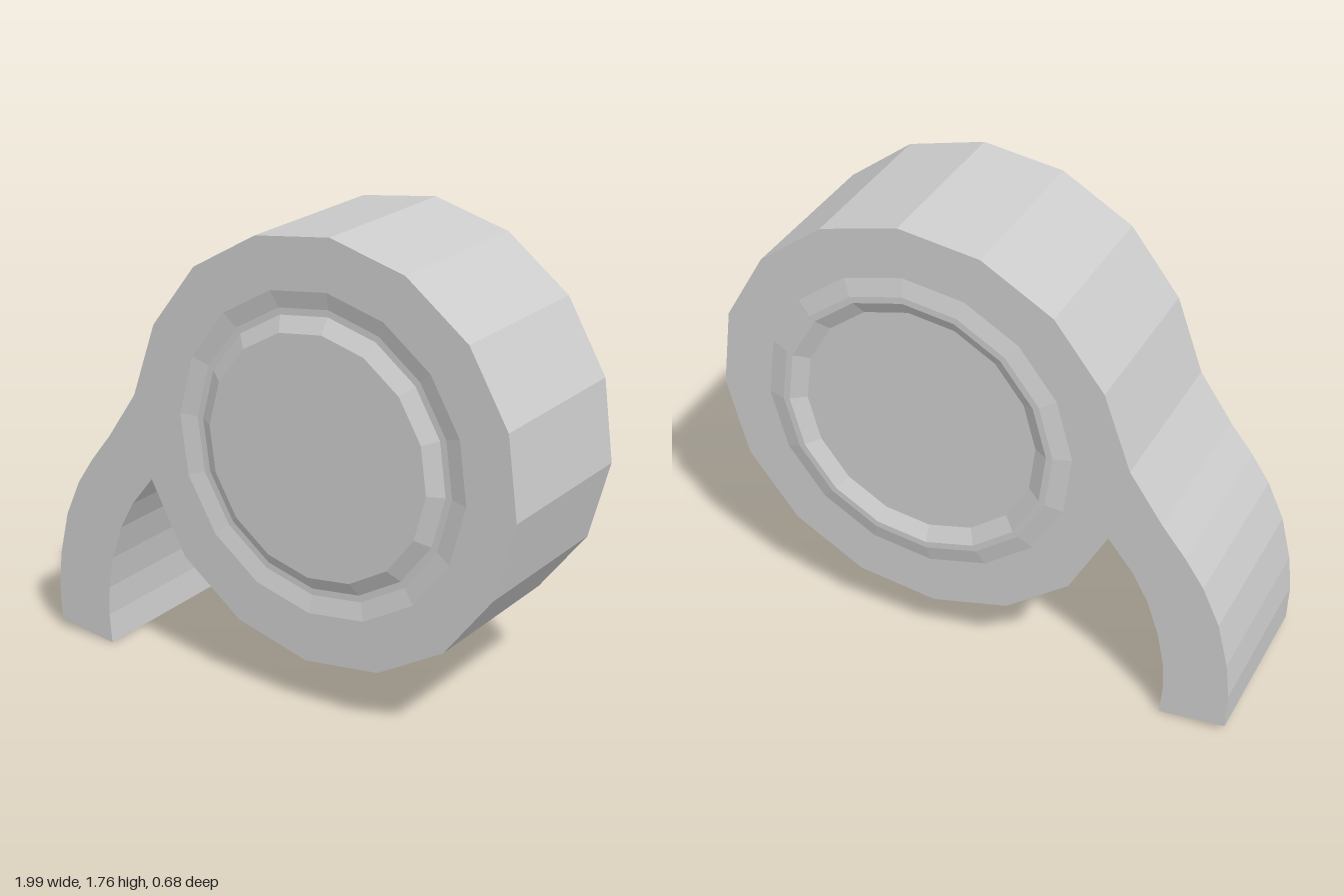
import * as THREE from 'three';

const CX = 0.21, CY = 0.98, SIDES = 16;
const PHASE = THREE.MathUtils.degToRad(-3.6);
const HALF = 0.325, STEP = 0.017;

// Corner k of a 16-sided ring of radius r around the roll centre
function ringPoint(r, k) {
  const a = PHASE + (k * Math.PI * 2) / SIDES;
  return new THREE.Vector2(CX + r * Math.cos(a), CY + r * Math.sin(a));
}

export function createModel() {
  const group = new THREE.Group();
  const grey = new THREE.MeshStandardMaterial({ color: 0xcccccc, flatShading: true });
  grey.name = 'light grey';

  // Outline: round roll, from lower left counter-clockwise to upper left
  const outline = [];
  for (let k = -6; k <= 7; k++) outline.push(ringPoint(0.785, k));
  // Loose strip: outer curve down to the cut end, inner curve back up
  const strip = [
    [-0.595, 1.04], [-0.72, 0.855], [-0.81, 0.74], [-0.88, 0.635], [-0.945, 0.49],
    [-0.985, 0.32], [-1, 0.18], [-0.995, 0.035], [-0.745, 0.005], [-0.755, 0.12],
    [-0.75, 0.235], [-0.725, 0.365], [-0.68, 0.5], [-0.62, 0.61], [-0.525, 0.73],
  ];
  for (const [x, y] of strip) outline.push(new THREE.Vector2(x, y));

  const shape = new THREE.Shape(outline);
  const hole = [];
  for (let k = 0; k < SIDES; k++) hole.push(ringPoint(0.595, -k));
  shape.holes.push(new THREE.Path(hole));
  const rollGeo = new THREE.ExtrudeGeometry(shape, { depth: HALF * 2, bevelEnabled: false });
  rollGeo.translate(0, 0, -HALF);
  const roll = new THREE.Mesh(rollGeo, grey);
  roll.name = 'rollWithLooseEnd';
  group.add(roll);

  // Core pushed forward: raised ring at the back, groove and raised disc at the front
  const profile = [
    [0, -HALF + STEP], [0.45, -HALF + STEP], [0.505, -HALF - STEP], [0.53, -HALF - STEP],
    [0.595, -HALF], [0.595, HALF], [0.53, HALF - STEP], [0.505, HALF - STEP],
    [0.45, HALF + STEP], [0, HALF + STEP],
  ].map(([r, y]) => new THREE.Vector2(r, y));
  const coreGeo = new THREE.LatheGeometry(profile, SIDES);
  coreGeo.rotateX(Math.PI / 2);
  coreGeo.rotateZ(PHASE);
  const core = new THREE.Mesh(coreGeo, grey);
  core.position.set(CX, CY, 0);
  core.name = 'core';
  group.add(core);

  return group;
}
